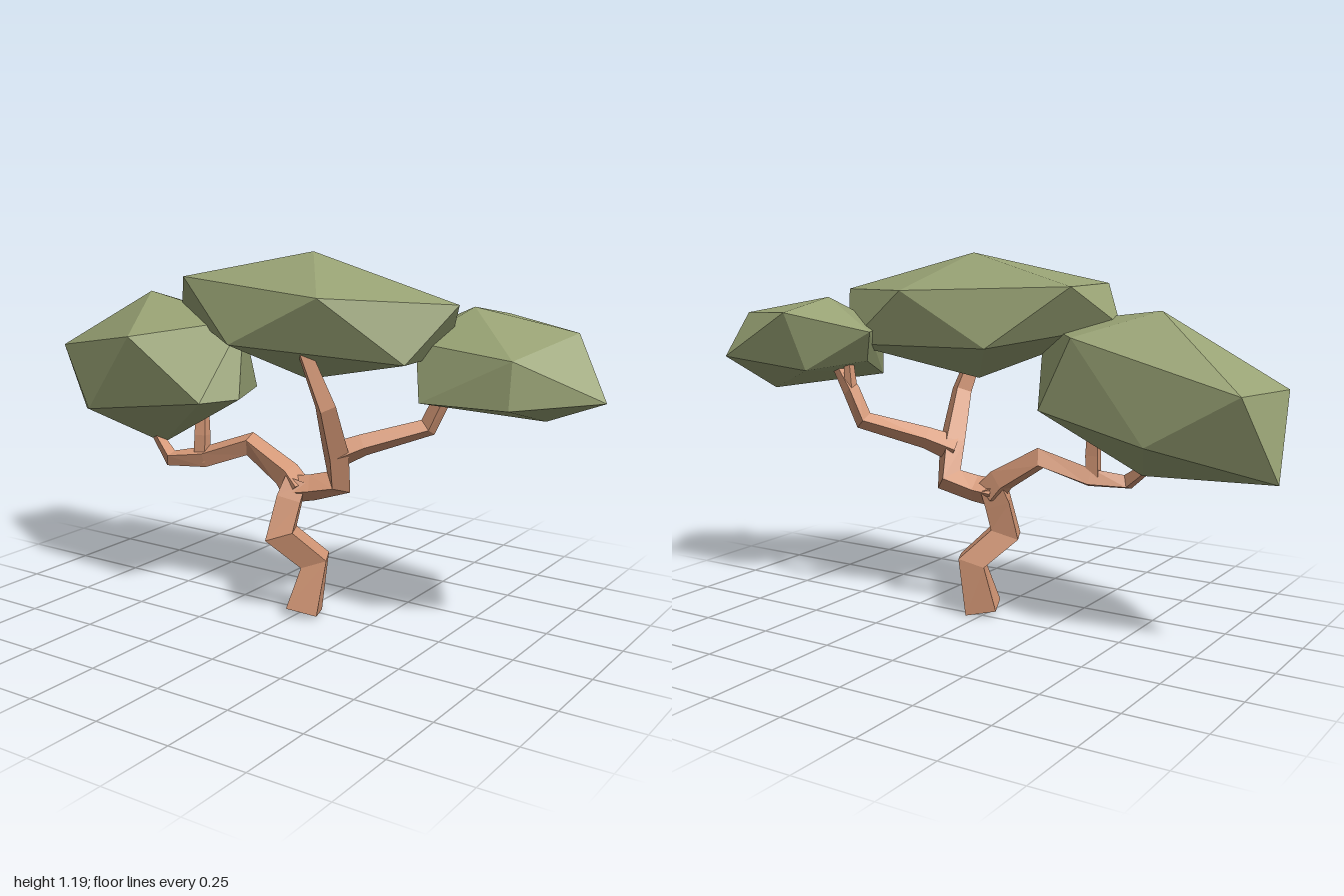
import * as THREE from 'three';
import { ConvexGeometry } from 'three/addons/geometries/ConvexGeometry.js';

const bark = new THREE.MeshStandardMaterial({ color: 0xd29675, flatShading: true });
const leaf = new THREE.MeshStandardMaterial({ color: 0x98a274, flatShading: true });

// Four-sided limb swept through nodes [x, y, z, radius]
function limb(name, nodes, phase = 0) {
  const pts = nodes.map(n => new THREE.Vector3(n[0], n[1], n[2]));
  const last = pts.length - 1;
  const normal = new THREE.Vector3(Math.cos(phase), 0, Math.sin(phase));
  const rings = pts.map((p, i) => {
    const t = new THREE.Vector3();
    if (i > 0) t.add(p.clone().sub(pts[i - 1]).normalize());
    if (i < last) t.add(pts[i + 1].clone().sub(p).normalize());
    t.normalize();
    normal.addScaledVector(t, -normal.dot(t)).normalize();
    const side = t.clone().cross(normal);
    return [0, 1, 2, 3].map(k => p.clone()
      .addScaledVector(normal, nodes[i][3] * Math.cos(k * Math.PI / 2))
      .addScaledVector(side, nodes[i][3] * Math.sin(k * Math.PI / 2)));
  });
  const tris = [];
  for (let i = 0; i < last; i++) {
    for (let k = 0; k < 4; k++) {
      const a = rings[i][k], b = rings[i][(k + 1) % 4];
      const c = rings[i + 1][(k + 1) % 4], d = rings[i + 1][k];
      tris.push(a, b, c, a, c, d);
    }
  }
  const s = rings[0], e = rings[last];
  tris.push(s[0], s[2], s[1], s[0], s[3], s[2], e[0], e[1], e[2], e[0], e[2], e[3]);
  const geo = new THREE.BufferGeometry().setFromPoints(tris);
  geo.computeVertexNormals();
  const mesh = new THREE.Mesh(geo, bark);
  mesh.name = name;
  return mesh;
}

// Faceted foliage: top, upper ring of five, lower ring of five, bottom
function foliage(name, corners) {
  const mesh = new THREE.Mesh(new ConvexGeometry(corners.map(c => new THREE.Vector3(...c))), leaf);
  mesh.name = name;
  return mesh;
}

export function createModel() {
  const tree = new THREE.Group();
  tree.name = 'tree';

  // Crooked trunk
  tree.add(limb('trunk', [
    [0.018, 0, 0.034, 0.073], [0.04, 0.165, 0.003, 0.062],
    [-0.045, 0.26, 0.075, 0.066], [-0.035, 0.37, 0.04, 0.056], [-0.025, 0.43, 0.015, 0.05],
  ], -1.17));

  // Low branch on the right-hand side with an upright fork
  tree.add(limb('rightBranch', [
    [-0.02, 0.4, 0.02, 0.05], [-0.06, 0.445, 0.02, 0.046], [-0.2, 0.53, 0.03, 0.04],
    [-0.35, 0.475, 0.08, 0.036], [-0.46, 0.465, 0.125, 0.028], [-0.56, 0.54, 0.09, 0.016],
  ], 0.8));
  tree.add(limb('rightFork', [
    [-0.36, 0.46, 0.085, 0.028], [-0.36, 0.55, 0.08, 0.028], [-0.37, 0.7, 0.06, 0.018],
  ], 0.6));

  // Tall branch to the middle canopy
  tree.add(limb('middleBranch', [
    [-0.03, 0.4, 0.02, 0.046], [0.03, 0.41, 0.005, 0.044], [0.115, 0.435, -0.02, 0.05],
    [0.135, 0.55, 0.03, 0.045], [0.155, 0.71, 0.12, 0.036], [0.105, 0.9, 0.175, 0.024],
  ], 0.9));

  // Branch reaching out to the left canopy
  tree.add(limb('leftBranch', [
    [0.12, 0.53, 0.02, 0.045], [0.2, 0.567, -0.03, 0.036], [0.37, 0.625, -0.14, 0.032],
    [0.415, 0.72, -0.145, 0.028], [0.5, 0.81, -0.12, 0.018],
  ], 0.8));
  tree.add(limb('leftTwig', [
    [0.415, 0.71, -0.145, 0.022], [0.43, 0.83, -0.14, 0.015],
  ], 0.8));

  // Three canopies
  tree.add(foliage('middleCanopy', [
    [0.05, 1.17, 0.03],
    [0.56, 1.04, 0.04], [0.2, 1.055, 0.24], [-0.37, 1.08, 0.15], [-0.37, 1.08, -0.1], [0.2, 1.055, -0.17],
    [0.45, 0.87, 0.16], [-0.13, 0.89, 0.235], [-0.46, 0.96, 0.05], [-0.12, 0.89, -0.18], [0.45, 0.87, -0.11],
    [0.03, 0.77, 0.03],
  ]));
  tree.add(foliage('rightCanopy', [
    [-0.6, 1.01, 0.04],
    [-0.98, 0.8, 0.08], [-0.48, 0.895, 0.3], [-0.17, 0.95, 0.1], [-0.37, 0.93, -0.1], [-0.92, 0.8, -0.145],
    [-0.73, 0.62, 0.23], [-0.19, 0.71, 0.305], [-0.13, 0.71, 0.18], [-0.25, 0.7, -0.08],
    [-0.63, 0.63, -0.14], [-1, 0.545, -0.04],
    [-0.53, 0.5, 0.08],
  ]));
  tree.add(foliage('leftCanopy', [
    [0.54, 1.02, -0.1],
    [0.56, 0.98, -0.305], [0.85, 0.96, -0.15], [0.75, 0.9, 0.085], [0.42, 0.92, 0.04], [0.31, 0.92, -0.18],
    [0.85, 0.82, -0.27], [0.99, 0.79, -0.02], [0.75, 0.76, 0.1], [0.46, 0.75, 0.09], [0.36, 0.82, -0.13],
    [0.52, 0.79, -0.25], [0.78, 0.7, -0.1],
  ]));
  return tree;
}
